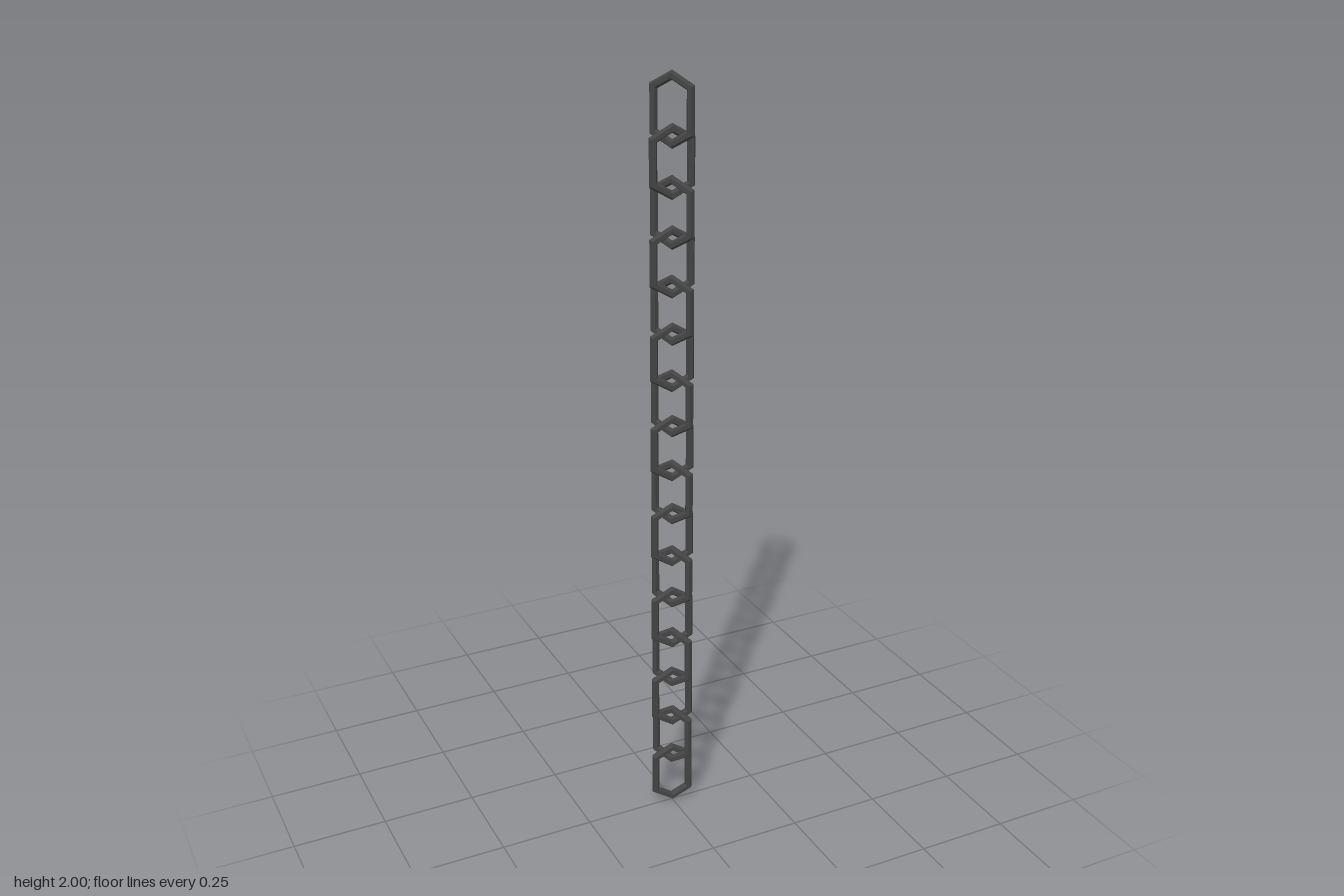
import * as THREE from 'three';

const LINKS = 16;
const HEIGHT = 2;
const LINK_HEIGHT = 0.182;
const RING = 0.053;   // radius of the hexagonal ring's centre line
const BAR = 0.0117;   // radius of the six-sided bar

// Six-cornered ring, pulled apart at the middle into a long link
function linkGeometry() {
  const geometry = new THREE.TorusGeometry(RING, BAR, 6, 6);
  geometry.rotateZ(Math.PI / 6);
  const stretch = LINK_HEIGHT / 2 - RING - BAR;
  const pos = geometry.attributes.position;
  for (let i = 0; i < pos.count; i++) {
    pos.setY(i, pos.getY(i) + Math.sign(pos.getY(i)) * stretch);
  }
  geometry.computeVertexNormals();
  return geometry;
}

export function createModel() {
  const chain = new THREE.Group();
  chain.name = 'chain';
  const geometry = linkGeometry();
  const material = new THREE.MeshStandardMaterial({ color: 0x444444, flatShading: true });
  const pitch = (HEIGHT - LINK_HEIGHT) / (LINKS - 1);

  // Links hang from the top, alternating between two turns
  for (let i = 0; i < LINKS; i++) {
    const link = new THREE.Mesh(geometry, material);
    link.name = `link${i + 1}`;
    link.position.y = HEIGHT - LINK_HEIGHT / 2 - i * pitch;
    link.rotation.y = -THREE.MathUtils.degToRad(i % 2 === 0 ? 46 : 12);
    chain.add(link);
  }
  return chain;
}
